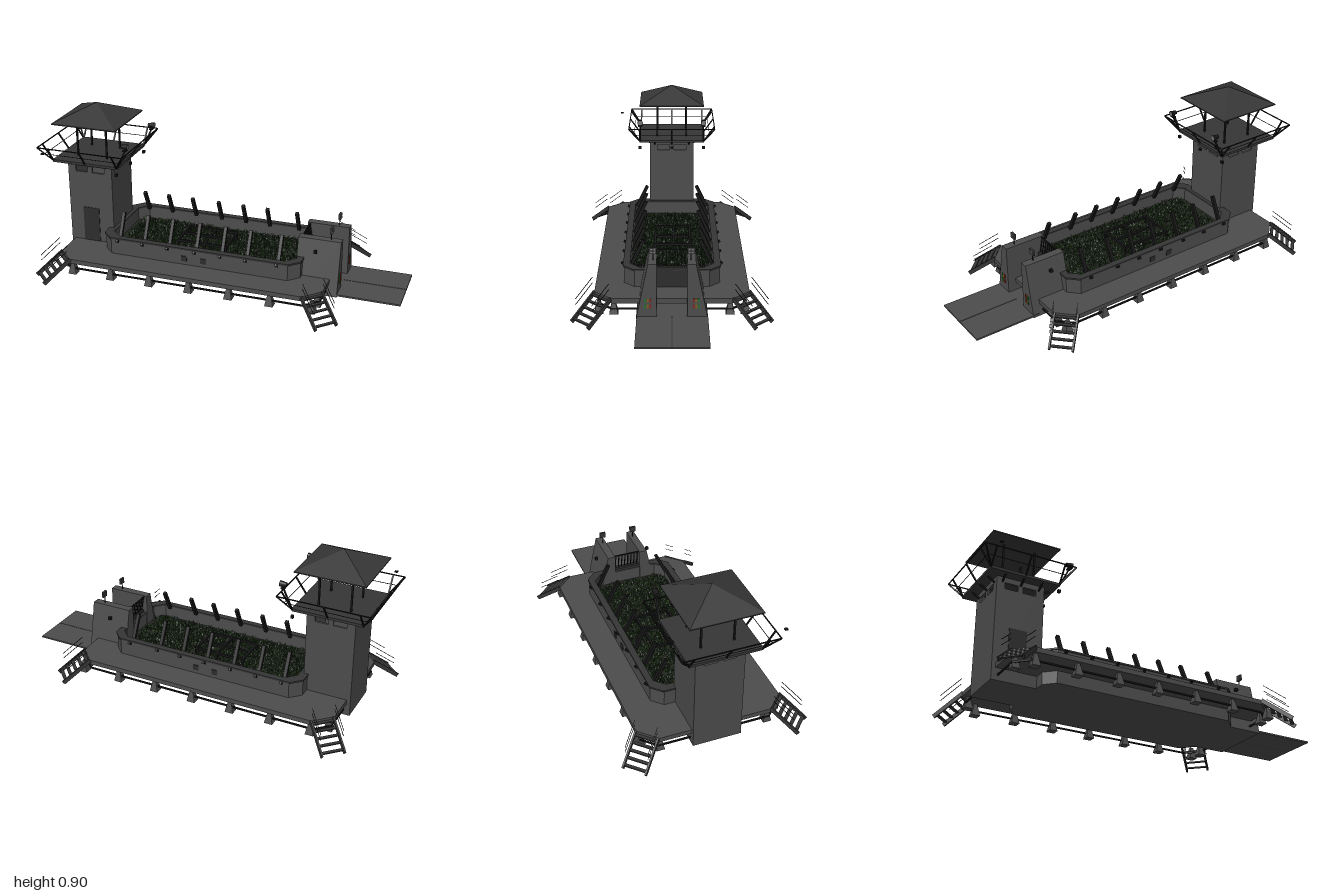
import * as THREE from 'three';

const mat = (color, side = THREE.FrontSide) => new THREE.MeshStandardMaterial({ color, side, flatShading: true });
const concrete = mat(0x4c4c4c), dark = mat(0x363636), metal = mat(0x161616), panel = mat(0x2c2c2c);
const lampGrey = mat(0x777777), soil = mat(0x20261c);
const CX = -0.12, TX = -0.75; // centre of the deck, centre of the tower

export function createModel() {
  const root = new THREE.Group();
  let group = root;
  const section = (name) => { group = new THREE.Group(); group.name = name; root.add(group); };
  const add = (name, geo, m, x = 0, y = 0, z = 0) => {
    const mesh = new THREE.Mesh(geo, m);
    mesh.name = name;
    mesh.position.set(x, y, z);
    group.add(mesh);
    return mesh;
  };
  // box given by its extents
  const block = (name, m, x0, x1, y0, y1, z0, z1) =>
    add(name, new THREE.BoxGeometry(x1 - x0, y1 - y0, z1 - z0), m, (x0 + x1) / 2, (y0 + y1) / 2, (z0 + z1) / 2);
  // square bar between two points
  const beam = (name, a, b, w, m = metal, h = w) => {
    const A = new THREE.Vector3(...a), B = new THREE.Vector3(...b);
    const mid = A.clone().add(B).multiplyScalar(0.5);
    const mesh = add(name, new THREE.BoxGeometry(w, h, A.distanceTo(B)), m, mid.x, mid.y, mid.z);
    mesh.lookAt(B);
    return mesh;
  };
  const poly = (pts, T = THREE.Shape) => new T(pts.map(([x, y]) => new THREE.Vector2(x, y)));
  const rect = (x0, x1, y0, y1) => [[x0, y0], [x1, y0], [x1, y1], [x0, y1]];
  const octagon = (x0, x1, w, c) => [[x0 + c, -w], [x1 - c, -w], [x1, -w + c], [x1, w - c],
    [x1 - c, w], [x0 + c, w], [x0, w - c], [x0, -w + c]];
  // plan outline raised from y0 to y1, optionally hollow
  const slab = (name, m, pts, y0, y1, hole) => {
    const s = poly(pts);
    if (hole) s.holes.push(poly(hole, THREE.Path));
    const g = new THREE.ExtrudeGeometry(s, { depth: y1 - y0, bevelEnabled: false });
    return add(name, g.rotateX(-Math.PI / 2), m, 0, y0, 0);
  };

  // walkway with cut corners, its legs and the pipe around it
  section('walkway');
  slab('deck', concrete, octagon(-0.86, 0.62, 0.39, 0.09), 0.105, 0.13);
  const leg = (x, z) => add('leg', new THREE.CylinderGeometry(0.012, 0.032, 0.065, 4).rotateY(Math.PI / 4), concrete, x, 0.0725, z);
  for (const s of [-1, 1]) {
    for (let i = 0; i < 7; i++) leg(-0.76 + i * 0.2233, s * 0.365);
    leg(0.59, s * 0.29);
    leg(-0.83, s * 0.29);
    beam('pipe', [-0.78, 0.07, s * 0.37], [0.54, 0.07, s * 0.37], 0.008);
    for (const e of [-1, 1]) {
      const x = CX + e * 0.725;
      beam('pipe', [x, 0.07, s * 0.13], [x, 0.07, s * 0.3], 0.008);
      beam('pipe', [x, 0.07, s * 0.3], [x - e * 0.07, 0.07, s * 0.37], 0.008);
    }
  }

  // diagonal corner stairs with handrails
  section('cornerStairs');
  for (const ex of [-1, 1]) for (const ez of [-1, 1]) {
    const P = (u, v, y) => [CX + ex * (0.69 + u + v), y, ez * (0.345 + u - v)];
    for (const v of [-0.043, 0.043]) {
      beam('stairRail', P(0, v, 0.128), P(0.11, v, 0.014), 0.009, dark, 0.022);
      for (const h of [0.06, 0.09]) beam('handrail', P(0.01, v, 0.12 + h), P(0.09, v, 0.037 + h), 0.0025);
    }
    for (let i = 0; i < 5; i++) {
      const u = 0.012 + i * 0.022, y = 0.118 - i * 0.0228;
      beam('tread', P(u, -0.043, y), P(u, 0.043, y), 0.018, dark, 0.006);
    }
  }

  // enclosure: octagonal parapet wall, coping and planted floor
  section('enclosure');
  const inner = octagon(-0.6, 0.44, 0.215, 0.05);
  slab('parapetWall', concrete, octagon(-0.64, 0.47, 0.245, 0.055), 0.04, 0.217, inner);
  slab('coping', dark, octagon(-0.645, 0.475, 0.25, 0.055), 0.217, 0.226, inner);
  slab('baseFloor', concrete, octagon(-0.64, 0.47, 0.245, 0.055), 0.04, 0.06);
  slab('plantedGround', soil, inner, 0.06, 0.15);
  for (const s of [-1, 1]) {
    for (const x of [-0.545, -0.4, -0.255, -0.1, 0.045, 0.185, 0.355]) {
      beam('fencePost', [x, 0.215, s * 0.205], [x, 0.34, s * 0.145], 0.018);
      beam('postBracket', [x, 0.205, s * 0.243], [x, 0.217, s * 0.26], 0.012);
    }
    for (const x of [-0.16, -0.05]) block('wallPanel', panel, x - 0.016, x + 0.016, 0.15, 0.18, s * 0.246 - 0.003, s * 0.246 + 0.003);
  }
  // low bar frame in the middle
  for (const z of [-0.1, -0.01, 0.09]) beam('frameBar', [-0.26, 0.19, z], [0.03, 0.19, z], 0.012);
  for (const x of [-0.255, -0.1, 0.025]) {
    beam('frameBar', [x, 0.19, -0.1], [x, 0.19, 0.09], 0.012);
    for (const z of [-0.1, 0.09]) beam('frameLeg', [x, 0.15, z], [x, 0.19, z], 0.01);
  }
  // grass tufts: three leaning blades each, in two greens
  let seed = 7;
  const rnd = () => (seed = (seed * 16807) % 2147483647) / 2147483647;
  for (const color of [0x1d4210, 0x12260c]) {
    const pos = [];
    for (let i = 0; i < 1100; i++) {
      const x = -0.57 + rnd() * 0.99, z = (rnd() - 0.5) * 0.41;
      for (let k = 0; k < 3; k++) {
        const a = rnd() * 6.283, c = Math.cos(a) * 0.004, s = Math.sin(a) * 0.004, l = 2 + rnd() * 3;
        pos.push(x - c, 0.149, z - s, x + c, 0.149, z + s, x - s * l, 0.158 + rnd() * 0.012, z + c * l);
      }
    }
    const g = new THREE.BufferGeometry();
    g.setAttribute('position', new THREE.Float32BufferAttribute(pos, 3));
    g.computeVertexNormals();
    add('grass', g, mat(color, THREE.DoubleSide));
  }

  // watchtower: four walls with paired window openings
  section('watchtower');
  for (let i = 0; i < 4; i++) {
    const s = poly(rect(-0.13, 0.13, 0.04, 0.61));
    for (const c of [-0.049, 0.049]) s.holes.push(poly(rect(c - 0.036, c + 0.036, 0.54, 0.574), THREE.Path));
    const g = new THREE.ExtrudeGeometry(s, { depth: 0.012, bevelEnabled: false });
    add('towerWall', g.translate(0, 0, 0.118).rotateY(i * Math.PI / 2), concrete, TX, 0, 0);
  }
  block('towerFloor', concrete, TX - 0.125, TX + 0.125, 0.04, 0.05, -0.125, 0.125);
  block('towerDoor', panel, -0.8, -0.705, 0.13, 0.33, 0.128, 0.133);
  block('platform', dark, TX - 0.19, TX + 0.19, 0.602, 0.616, -0.19, 0.19);
  const roof = new THREE.ConeGeometry(0.187 * Math.SQRT2, 0.085, 4).rotateY(Math.PI / 4);
  add('roof', roof, dark, TX, 0.8625, 0);
  block('roofEdge', dark, TX - 0.187, TX + 0.187, 0.814, 0.82, -0.187, 0.187);
  for (const a of [-1, 1]) for (const b of [-1, 1])
    beam('roofPost', [TX + a * 0.086, 0.61, b * 0.086], [TX + a * 0.086, 0.82, b * 0.086], 0.009);
  // outward flaring railing
  for (let i = 0; i < 4; i++) {
    const c = Math.round(Math.cos(i * Math.PI / 2)), s = Math.round(Math.sin(i * Math.PI / 2));
    const P = (r, t, y) => [TX + c * r - s * t, y, s * r + c * t];
    beam('topRail', P(0.249, -0.249, 0.697), P(0.249, 0.249, 0.697), 0.005);
    beam('midRail', P(0.22, -0.22, 0.655), P(0.22, 0.22, 0.655), 0.0025);
    for (const t of [-0.187, 0, 0.187]) beam('railPost', P(0.187, t, 0.61), P(0.249, t, 0.697), 0.007);
    beam('cornerPost', P(0.187, 0.187, 0.61), P(0.249, 0.249, 0.697), 0.007);
    for (const t of [-0.1, 0, 0.1]) beam('platformBracket', P(0.125, t, 0.575), P(0.17, t, 0.603), 0.008);
  }

  // searchlights and small lamps
  section('lamps');
  for (const s of [-1, 1]) {
    const z = s * 0.183;
    beam('lampPole', [-0.56, 0.61, z], [-0.51, 0.715, z], 0.007);
    block('lampBracket', metal, -0.52, -0.5, 0.713, 0.72, z - 0.012, z + 0.012);
    add('searchlight', new THREE.CylinderGeometry(0.016, 0.011, 0.036, 12).rotateZ(-Math.PI / 2), metal, -0.51, 0.738, z);
    add('searchlightLens', new THREE.CylinderGeometry(0.013, 0.013, 0.002, 12).rotateZ(-Math.PI / 2), lampGrey, -0.4915, 0.738, z);
    block('platformLamp', metal, -0.572, -0.558, 0.563, 0.578, s * 0.187 - 0.008, s * 0.187 + 0.008);
    block('pillarLamp', metal, 0.53, 0.546, 0.267, 0.283, s * 0.157 - 0.008, s * 0.157 + 0.008);
    // four-bulb floodlight above each gate pillar
    block('floodlight', dark, 0.602, 0.614, 0.366, 0.398, s * 0.093 - 0.017, s * 0.093 + 0.017);
    beam('floodlightPole', [0.606, 0.33, s * 0.093], [0.606, 0.37, s * 0.093], 0.004);
    for (const a of [-1, 1]) for (const b of [-1, 1])
      add('bulb', new THREE.CylinderGeometry(0.006, 0.006, 0.003, 8).rotateZ(Math.PI / 2), lampGrey, 0.615, 0.382 + a * 0.008, s * 0.093 + b * 0.008);
  }
  block('platformLamp', metal, -0.569, -0.557, 0.563, 0.577, -0.008, 0.008);
  block('cornerLamp', metal, -0.943, -0.927, 0.687, 0.693, 0.297, 0.313);

  // gate: tapered pillars, double door, bars above and signal lights
  section('gate');
  for (const s of [-1, 1]) {
    const profile = poly([[0.075, 0.04], [0.178, 0.04], [0.118, 0.33], [0.075, 0.33]].map(([z, y]) => [-s * z, y]));
    const g = new THREE.ExtrudeGeometry(profile, { depth: 0.23, bevelEnabled: false });
    add('gatePillar', g.rotateY(Math.PI / 2), concrete, 0.435, 0, 0);
    block('doorLeaf', panel, 0.455, 0.475, 0.055, 0.24, s < 0 ? -0.075 : 0.001, s < 0 ? -0.001 : 0.075);
    [0x8a1a12, 0x8a5a12, 0x127a2a].forEach((color, i) => {
      for (const y of [0.11, 0.14])
        block('signalLight', mat(color), 0.664, 0.668, y - 0.01, y + 0.01, s * (0.107 + i * 0.012) - 0.004, s * (0.107 + i * 0.012) + 0.004);
    });
  }
  for (let i = 0; i < 8; i++) {
    const z = -0.066 + i * 0.0189;
    beam('gateBar', [0.465, 0.24, z], [0.45, 0.325, z], 0.005);
  }
  beam('gateTopBar', [0.45, 0.325, -0.075], [0.45, 0.325, 0.075], 0.006);
  block('gateFloor', concrete, 0.42, 0.665, 0.04, 0.055, -0.16, 0.16);

  // entrance ramp in two halves
  section('ramp');
  block('rampPlate', concrete, 0.63, 1, 0.046, 0.055, -0.178, -0.002);
  block('rampPlate', concrete, 0.63, 1, 0.046, 0.055, 0.002, 0.175);
  block('rampSeam', dark, 0.63, 1, 0.046, 0.053, -0.002, 0.002);
  return root;
}
